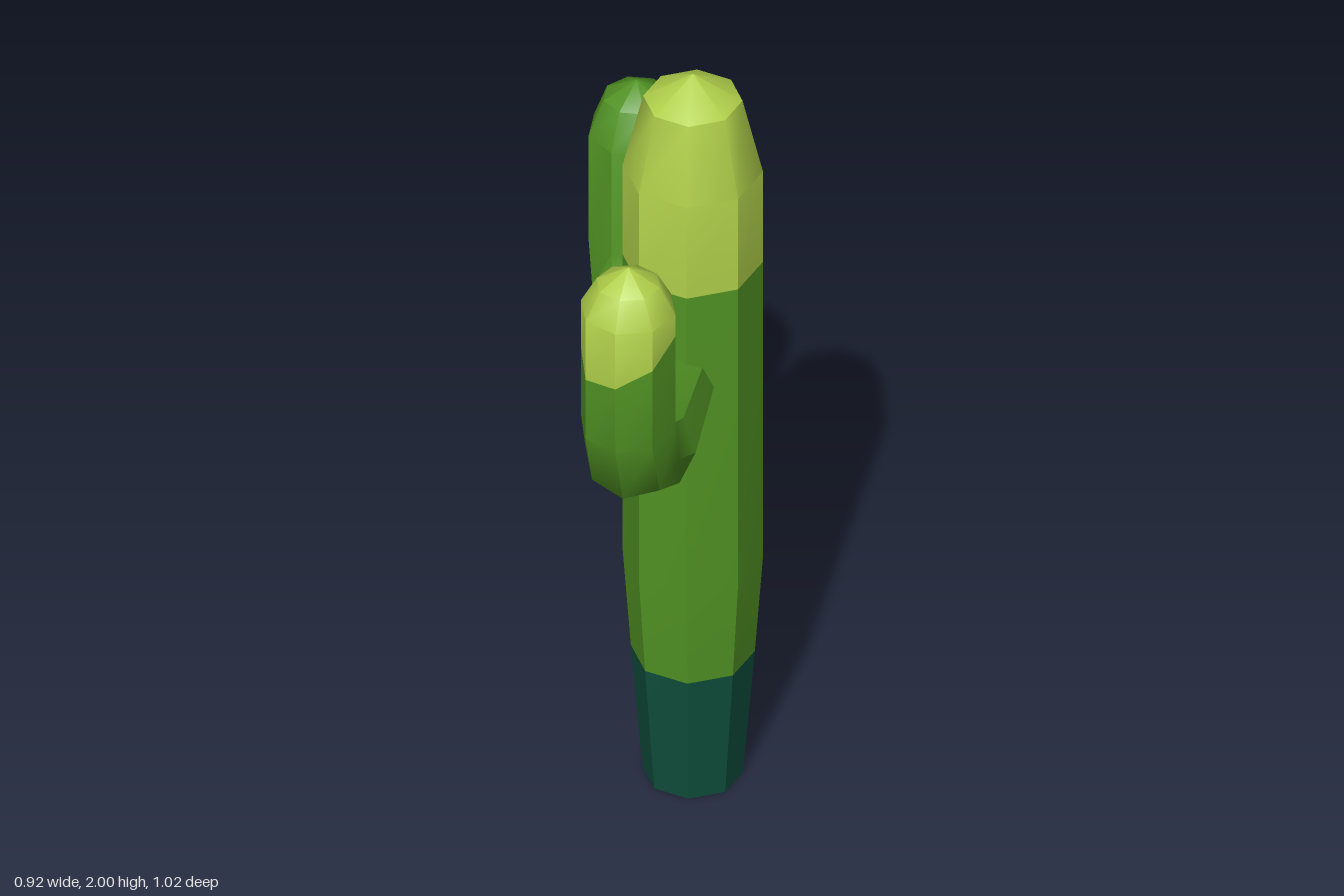
import * as THREE from 'three';
import { toCreasedNormals } from 'three/addons/utils/BufferGeometryUtils.js';

const SIDES = 8;
const [BASE, BODY, TIP] = [0, 1, 2];

const colour = (name, hex) => {
  const m = new THREE.MeshStandardMaterial({ color: hex });
  m.name = name;
  return m;
};

// Eight-sided limb through rings lying in one vertical plane.
// ring: d = distance from trunk axis, y = height, r = radius, tilt = path angle
// in degrees, su / sv = slant of the ring, mat = colour of the band above it.
function limb(rings, heading) {
  const a = THREE.MathUtils.degToRad(heading);
  const D = new THREE.Vector3(Math.cos(a), 0, Math.sin(a));
  const V = new THREE.Vector3(-Math.sin(a), 0, Math.cos(a));
  const Y = new THREE.Vector3(0, 1, 0);
  const positions = [];
  for (const { d = 0, y, r, tilt = 90, su = 0, sv = 0 } of rings) {
    const t = THREE.MathUtils.degToRad(tilt), c = Math.cos(t), s = Math.sin(t);
    for (let i = 0; i < SIDES; i++) {
      const q = (i / SIDES) * Math.PI * 2;
      const u = r * Math.cos(q), v = r * Math.sin(q);
      const along = su * u + sv * v;
      const p = new THREE.Vector3()
        .addScaledVector(D, d + s * u + c * along)
        .addScaledVector(Y, y - c * u + s * along)
        .addScaledVector(V, v);
      positions.push(p.x, p.y, p.z);
    }
  }
  const geo = new THREE.BufferGeometry();
  const index = [];
  for (let k = 0; k < rings.length - 1; k++) {
    const start = index.length;
    for (let i = 0; i < SIDES; i++) {
      const j = (i + 1) % SIDES;
      const p = k * SIDES + i, q = k * SIDES + j;
      if (rings[k].r > 0) index.push(p, p + SIDES, q);
      if (rings[k + 1].r > 0) index.push(q, p + SIDES, q + SIDES);
    }
    geo.addGroup(start, index.length - start, rings[k].mat);
  }
  geo.setAttribute('position', new THREE.Float32BufferAttribute(positions, 3));
  geo.setIndex(index);
  // Flat sides, softly rounded tips
  return toCreasedNormals(geo, 0.77);
}

export function createModel() {
  const materials = [
    colour('dark teal base', 0x0f4f3c),
    colour('cactus green', 0x529424),
    colour('lime tip', 0xb0d04a),
  ];
  const cactus = new THREE.Group();
  cactus.name = 'cactus';

  const add = (name, rings, heading) => {
    const mesh = new THREE.Mesh(limb(rings, heading), materials);
    mesh.name = name;
    mesh.position.set(0.118, 0, 0.077);
    cactus.add(mesh);
  };

  // Upright trunk, narrowing to the foot
  add('trunk', [
    { y: 0, r: 0, mat: BASE },
    { y: 0, r: 0.118, mat: BASE },
    { y: 0.35, r: 0.146, mat: BODY },
    { y: 0.62, r: 0.165, mat: BODY },
    { y: 1.47, r: 0.165, mat: TIP },
    { y: 1.73, r: 0.165, mat: TIP },
    { y: 1.93, r: 0.117, mat: TIP },
    { y: 2.0, r: 0 },
  ], 0);

  // Higher arm, bending up at the front right
  add('frontArm', [
    { d: 0.02, y: 1.2, r: 0.068, tilt: 0, mat: BASE },
    { d: 0.1, y: 1.2, r: 0.077, tilt: 0, su: 0.3, sv: 0.7, mat: BODY },
    { d: 0.4, y: 1.207, r: 0.118, tilt: 12, mat: BODY },
    { d: 0.527, y: 1.275, r: 0.116, tilt: 48, mat: BODY },
    { d: 0.565, y: 1.385, r: 0.115, tilt: 84, mat: BODY },
    { d: 0.565, y: 1.615, r: 0.115, su: -0.5, sv: -0.34, mat: TIP },
    { d: 0.565, y: 1.715, r: 0.115, mat: TIP },
    { d: 0.565, y: 1.785, r: 0.077, mat: TIP },
    { d: 0.565, y: 1.83, r: 0 },
  ], 145.5);

  // Lower arm, bending up at the back left
  add('backArm', [
    { d: 0.05, y: 1.0, r: 0.083, tilt: 0, mat: BASE },
    { d: 0.23, y: 1.0, r: 0.102, tilt: 0, mat: BODY },
    { d: 0.38, y: 1.0, r: 0.119, tilt: 12, mat: BODY },
    { d: 0.49, y: 1.07, r: 0.117, tilt: 48, mat: BODY },
    { d: 0.528, y: 1.18, r: 0.116, tilt: 84, mat: BODY },
    { d: 0.528, y: 1.48, r: 0.116, mat: BODY },
    { d: 0.528, y: 1.575, r: 0.08, mat: BODY },
    { d: 0.528, y: 1.62, r: 0 },
  ], -64.5);

  return cactus;
}
